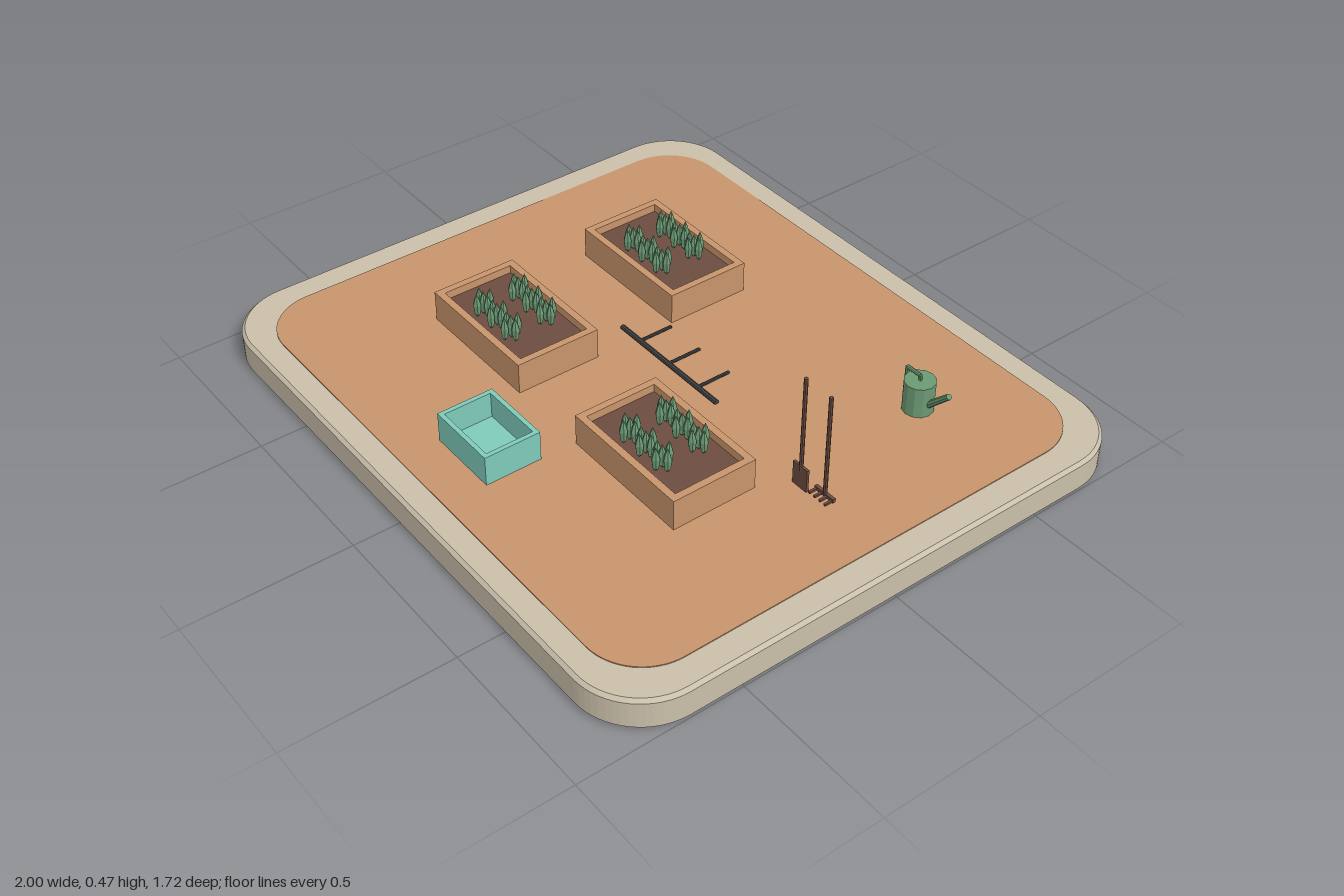
import * as THREE from 'three';

const mat = (name, color) => {
  const m = new THREE.MeshStandardMaterial({ color });
  m.name = name;
  m.flatShading = true;
  return m;
};

export function createModel() {
  const stone = mat('stone', 0xcabfaa);
  const clay = mat('clay wood', 0xc8956c);
  const soil = mat('soil brown', 0x6d4c41);
  const green = mat('garden green', 0x6b9a74);
  const teal = mat('crate teal', 0x7fcbbb);
  const dark = mat('dark metal', 0x424242);

  const model = new THREE.Group();
  model.name = 'gardenPlot';

  const add = (parent, name, geo, material, x = 0, y = 0, z = 0) => {
    const m = new THREE.Mesh(geo, material);
    m.name = name;
    m.position.set(x, y, z);
    parent.add(m);
    return m;
  };
  const group = (name, x = 0, y = 0, z = 0) => {
    const g = new THREE.Group();
    g.name = name;
    g.position.set(x, y, z);
    model.add(g);
    return g;
  };
  const box = (w, h, d) => new THREE.BoxGeometry(w, h, d);

  // Cylinder running between two points
  const rod = (parent, name, a, b, r, material, r2 = r, sides = 8) => {
    const from = new THREE.Vector3(...a), to = new THREE.Vector3(...b);
    const dir = to.clone().sub(from);
    const m = add(parent, name, new THREE.CylinderGeometry(r2, r, dir.length(), sides), material);
    m.position.copy(from).add(to).multiplyScalar(0.5);
    m.quaternion.setFromUnitVectors(new THREE.Vector3(0, 1, 0), dir.normalize());
    return m;
  };

  // Horizontal slab with rounded corners, half sizes hx and hz
  const slab = (hx, hz, r, h, bevel) => {
    const x = hx - bevel, z = hz - bevel;
    const s = new THREE.Shape();
    s.moveTo(-x + r, -z);
    s.lineTo(x - r, -z);
    s.absarc(x - r, -z + r, r, -Math.PI / 2, 0);
    s.lineTo(x, z - r);
    s.absarc(x - r, z - r, r, 0, Math.PI / 2);
    s.lineTo(-x + r, z);
    s.absarc(-x + r, z - r, r, Math.PI / 2, Math.PI);
    s.lineTo(-x, -z + r);
    s.absarc(-x + r, -z + r, r, Math.PI, Math.PI * 1.5);
    const geo = new THREE.ExtrudeGeometry(s, {
      depth: h - 2 * bevel, bevelEnabled: bevel > 0, bevelSize: bevel,
      bevelThickness: bevel, bevelSegments: 1, curveSegments: 8,
    });
    return geo.rotateX(-Math.PI / 2).translate(0, bevel, 0);
  };

  // Four walls of an open box standing on y = 0
  const walls = (parent, name, w, h, d, t, material) => {
    for (const s of [-1, 1]) {
      add(parent, name, box(w, h, t), material, 0, h / 2, s * (d - t) / 2);
      add(parent, name, box(t, h, d - 2 * t), material, s * (w - t) / 2, h / 2, 0);
    }
  };

  // Base and ground
  add(model, 'base', slab(1, 0.862, 0.19, 0.1, 0.01), stone);
  add(model, 'ground', slab(0.912, 0.783, 0.17, 0.008, 0), clay, 0, 0.095, 0);

  // Raised beds, each with two rows of three leafy plants
  const leaf = new THREE.LatheGeometry([
    [0, 0], [0.009, 0.012], [0.0125, 0.042], [0.008, 0.06], [0, 0.08],
  ].map(([x, y]) => new THREE.Vector2(x, y)), 6);
  const beds = [[-0.367, -0.302], [-0.367, 0.232], [0.333, 0.232]];
  for (const [bx, bz] of beds) {
    const bed = group('raisedBed', bx, 0.1, bz);
    walls(bed, 'bedWall', 0.43, 0.1, 0.27, 0.022, clay);
    add(bed, 'bedSoil', box(0.388, 0.075, 0.228), soil, 0, 0.0375, 0);
    for (const px of [-0.07, 0, 0.07]) {
      for (const pz of [-0.06, 0.06]) {
        for (const [lx, lz] of [[0, 0], [1, 0], [-1, 0], [0, 1], [0, -1]]) {
          add(bed, 'leaf', leaf, green, px + lx * 0.022, 0.075, pz + lz * 0.022);
        }
      }
    }
  }

  // Open crate
  const crate = group('crate', 0, 0.104, 0.566);
  walls(crate, 'crateWall', 0.23, 0.093, 0.175, 0.014, teal);
  add(crate, 'crateFloor', box(0.21, 0.012, 0.155), teal, 0, 0.006, 0);

  // Watering can
  const can = group('wateringCan', 0.565, 0.1, -0.47);
  add(can, 'canBody', new THREE.CylinderGeometry(0.046, 0.046, 0.1, 12), green, 0, 0.05, 0);
  rod(can, 'canSpout', [0.03, 0.03, 0], [0.111, 0.112, 0], 0.011, green, 0.009);
  const handle = [[0, 0.115, 0], [-0.052, 0.115, 0], [-0.052, 0.04, 0], [-0.035, 0.04, 0]];
  for (let i = 0; i < 3; i++) rod(can, 'canHandle', handle[i], handle[i + 1], 0.006, green);
  rod(can, 'canHandle', [0, 0.115, 0], [0, 0.095, 0], 0.005, green);

  // Irrigation pipe with three branches
  const pipe = group('irrigationPipe', 0, 0.109, -0.038);
  rod(pipe, 'mainPipe', [-0.218, 0, 0], [0.218, 0, 0], 0.008, dark);
  for (const x of [-0.133, 0, 0.133]) {
    rod(pipe, 'branchPipe', [x, 0, 0], [x, 0, -0.112], 0.005, dark);
  }

  // Spade
  const spade = group('spade', 0.617, 0.1, 0);
  rod(spade, 'spadeShaft', [0, 0.06, 0], [0, 0.367, 0], 0.006, soil);
  add(spade, 'spadeBlade', box(0.056, 0.074, 0.008), soil, 0, 0.039, 0);

  // Rake
  const rake = group('rake', 0.713, 0.1, 0);
  rod(rake, 'rakeShaft', [0, 0.045, 0], [0, 0.367, 0], 0.006, soil);
  add(rake, 'rakeHead', box(0.072, 0.012, 0.01), soil, 0, 0.046, 0);
  for (let i = 0; i < 4; i++) {
    add(rake, 'rakeTine', box(0.007, 0.007, 0.027), soil, -0.03 + i * 0.02, 0.044, 0.015);
  }

  return model;
}
